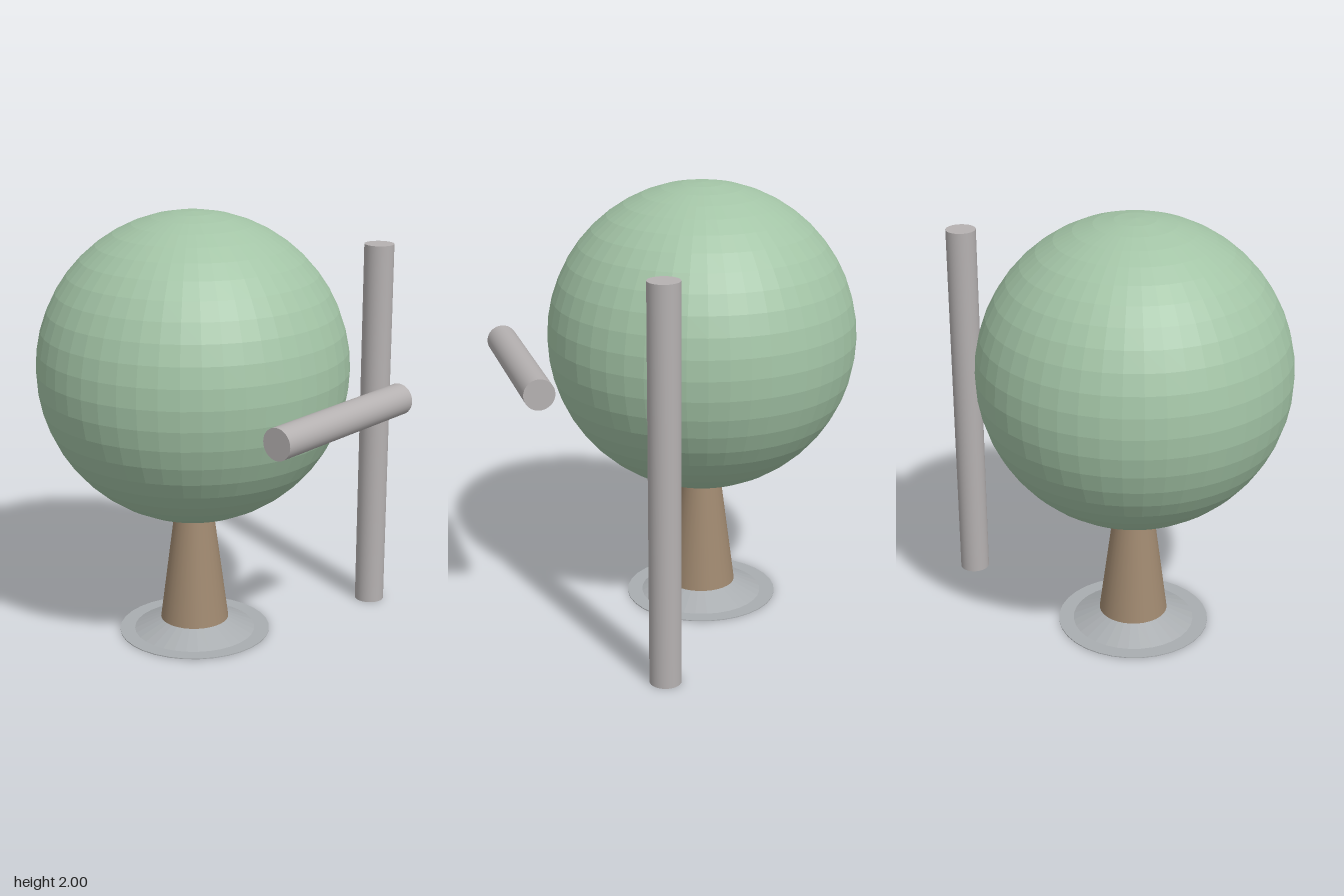
import * as THREE from 'three';

const CX = -0.1, CZ = -0.105; // tree axis

function part(name, geometry, color, x, y, z, flatShading = false, side = THREE.FrontSide) {
  const material = new THREE.MeshStandardMaterial({ color, flatShading, side });
  const mesh = new THREE.Mesh(geometry, material);
  mesh.name = name;
  mesh.position.set(x, y, z);
  return mesh;
}

export function createModel() {
  const group = new THREE.Group();
  group.name = 'treeWithPoles';

  // Faceted round crown
  group.add(part('crown', new THREE.SphereGeometry(0.71, 48, 24), 0xa3c4a6, CX, 1.29, CZ, true));

  // Tapered trunk, its top buried in the crown
  const trunkHeight = 0.66;
  group.add(part('trunk', new THREE.CylinderGeometry(0.082, 0.168, trunkHeight, 32), 0xa08970,
    CX, trunkHeight / 2, CZ));

  // Sloping collar around the trunk with a thin flat rim
  const profile = [[0.166, 0], [0.355, 0], [0.355, 0.004], [0.285, 0.004], [0.16, 0.062]]
    .map(([r, y]) => new THREE.Vector2(r, y));
  group.add(part('baseCollar', new THREE.LatheGeometry(profile, 32), 0xa9adb0, CX, 0, CZ, true,
    THREE.DoubleSide));

  // Upright pole beside the tree
  const poleHeight = 1.785;
  group.add(part('uprightPole', new THREE.CylinderGeometry(0.07, 0.07, poleHeight, 32), 0xb5b1b1,
    0.735, poleHeight / 2, 0.315));

  // Horizontal bar in front of the crown
  const bar = part('horizontalBar', new THREE.CylinderGeometry(0.07, 0.07, 0.855, 32), 0xb5b1b1,
    -0.118, 1.21, 0.745);
  bar.rotation.z = Math.PI / 2;
  group.add(bar);

  return group;
}
